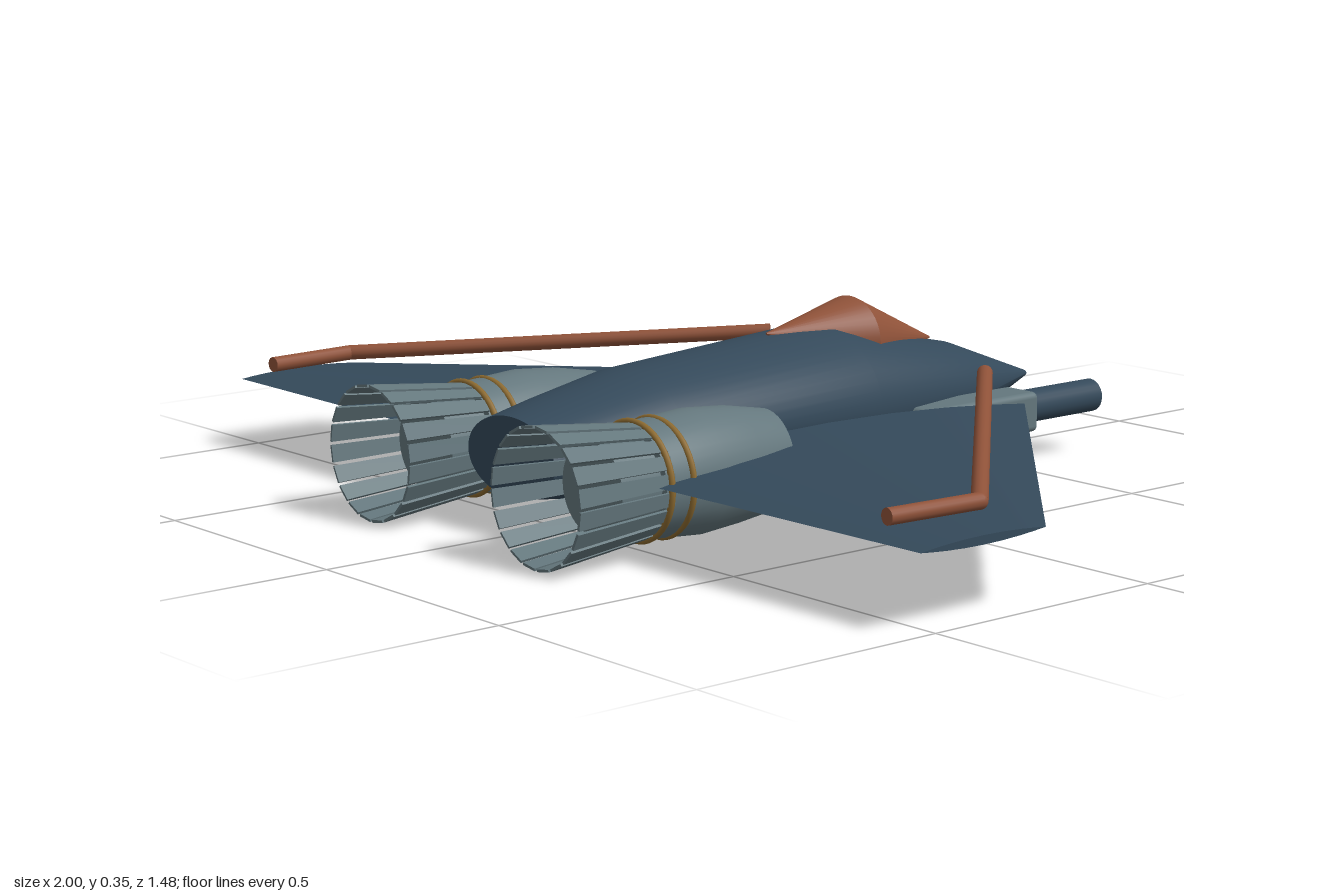
import * as THREE from 'three';
import { toCreasedNormals } from 'three/addons/utils/BufferGeometryUtils.js';
import { RoundedBoxGeometry } from 'three/addons/geometries/RoundedBoxGeometry.js';

const paint = (name, color) => {
  const m = new THREE.MeshStandardMaterial({ color });
  m.name = name;
  return m;
};

// Skin a list of closed rings (each an array of [x, y, z]) and cap both ends
function loft(rings, crease = 0.5) {
  const n = rings[0].length, last = rings.length - 1;
  const pos = rings.flat(2), idx = [];
  for (let i = 0; i < last; i++) {
    for (let j = 0; j < n; j++) {
      const k = (j + 1) % n;
      const a = i * n + j, b = i * n + k, c = a + n, d = b + n;
      idx.push(a, b, c, b, d, c);
    }
  }
  for (let j = 1; j < n - 1; j++) {
    idx.push(0, j + 1, j, last * n, last * n + j, last * n + j + 1);
  }
  const g = new THREE.BufferGeometry();
  g.setAttribute('position', new THREE.Float32BufferAttribute(pos, 3));
  g.setIndex(idx);
  return toCreasedNormals(g, crease);
}

// Elliptical body along z from stations [z, centreY, halfWidth, halfHeight]
function body(stations, sides = 40) {
  return loft(stations.map(([z, cy, rx, ry]) => Array.from({ length: sides }, (_, j) => {
    const a = (j / sides) * Math.PI * 2;
    return [Math.cos(a) * rx, cy + Math.sin(a) * ry, z];
  })));
}

// Lens-shaped wing section at x, between leading and trailing z
function wingSection(x, z0, z1, half, steps = 10) {
  const ring = [];
  for (let j = 0; j < steps * 2; j++) {
    const a = (j / (steps * 2)) * Math.PI * 2;
    const u = Math.sin(a);
    ring.push([x, 0.138 + half * Math.sign(Math.cos(a)) * (1 - u * u), (z0 + z1) / 2 + u * (z1 - z0) / 2]);
  }
  return ring;
}

export function createModel() {
  const navy = paint('navy hull', 0x34495a);
  const grey = paint('grey metal', 0x64777d);
  const rust = paint('rust trim', 0x8f5239);
  const gold = paint('gold bands', 0x8c6a30);

  const model = new THREE.Group();
  model.name = 'starfighter';
  const add = (parent, name, geometry, material, x = 0, y = 0, z = 0) => {
    const m = new THREE.Mesh(geometry, material);
    m.name = name;
    m.position.set(x, y, z);
    parent.add(m);
    return m;
  };

  // Fuselage, nose towards -z
  add(model, 'fuselage', body([
    [-0.71, 0.14, 0.008, 0.006],
    [-0.48, 0.147, 0.112, 0.085],
    [-0.14, 0.163, 0.187, 0.143],
    [0.33, 0.16, 0.172, 0.113],
    [0.5, 0.148, 0.15, 0.092],
    [0.6, 0.143, 0.13, 0.075],
  ], 48), navy);

  // Pointed canopy
  add(model, 'canopy', body([
    [-0.44, 0.245, 0.002, 0.002],
    [-0.225, 0.268, 0.09, 0.083],
    [-0.01, 0.3, 0.002, 0.002],
  ]), rust);

  // Tapered nozzle petal, hinged at its front end
  const petalLength = 0.232;
  const petalGeo = new THREE.BoxGeometry(0.033, 0.005, petalLength);
  const p = petalGeo.attributes.position;
  for (let i = 0; i < p.count; i++) if (p.getZ(i) < 0) p.setX(i, p.getX(i) * 0.74);
  petalGeo.translate(0, 0, petalLength / 2);

  for (const s of [1, -1]) {
    const side = s > 0 ? 'left' : 'right';

    // Delta wing, set slightly off the hull
    const root = wingSection(s * 0.23, -0.48, 0.55, 0.03);
    const tip = wingSection(s, 0.25, 0.535, 0.008);
    add(model, side + 'Wing', loft(s > 0 ? [root, tip] : [tip, root]), navy);

    // Bent pipe above the wing
    const points = [[0.31, 0.234, -0.29], [0.92, 0.179, 0.325], [0.905, 0.179, 0.52]]
      .map(([x, y, z]) => new THREE.Vector3(s * x, y, z));
    const pipe = new THREE.Group();
    pipe.name = side + 'WingPipe';
    model.add(pipe);
    for (let i = 0; i < 2; i++) {
      const d = points[i + 1].clone().sub(points[i]);
      const rod = add(pipe, 'pipeSection', new THREE.CylinderGeometry(0.015, 0.015, d.length(), 16), rust);
      rod.position.copy(points[i]).addScaledVector(d, 0.5);
      rod.quaternion.setFromUnitVectors(new THREE.Vector3(0, 1, 0), d.normalize());
    }
    add(pipe, 'pipeElbow', new THREE.SphereGeometry(0.015, 16, 10), rust).position.copy(points[1]);

    // Gun pod and barrel
    add(model, side + 'GunPod', new RoundedBoxGeometry(0.088, 0.08, 0.305, 3, 0.012), grey, s * 0.163, 0.11, -0.393);
    const barrel = add(model, side + 'GunBarrel', new THREE.CylinderGeometry(0.033, 0.033, 0.24, 24), navy, s * 0.16, 0.113, -0.62);
    barrel.rotation.x = Math.PI / 2;

    // Engine: nacelle, core, bands and petal nozzle
    const engine = new THREE.Group();
    engine.name = side + 'Engine';
    engine.position.set(s * 0.25, 0.129, 0);
    model.add(engine);
    add(engine, 'nacelle', body([
      [0.212, -0.003, 0.084, 0.095],
      [0.3, 0, 0.1, 0.108],
      [0.39, 0, 0.109, 0.115],
      [0.47, 0, 0.106, 0.109],
      [0.525, 0, 0.102, 0.104],
    ]), grey);
    add(engine, 'nozzleCore', body([[0.5, 0, 0.09, 0.09], [0.61, 0, 0.085, 0.085]]), grey);
    for (const z of [0.468, 0.517]) {
      add(engine, 'band', new THREE.TorusGeometry(0.107, 0.006, 8, 48), gold, 0, 0, z);
    }
    for (let i = 0; i < 20; i++) {
      const spoke = new THREE.Group();
      spoke.name = 'petalMount';
      spoke.rotation.z = ((i + 0.5) / 20) * Math.PI * 2;
      engine.add(spoke);
      add(spoke, 'nozzlePetal', petalGeo, grey, 0, 0.101, 0.505).rotation.x = -0.105;
    }
  }
  return model;
}
